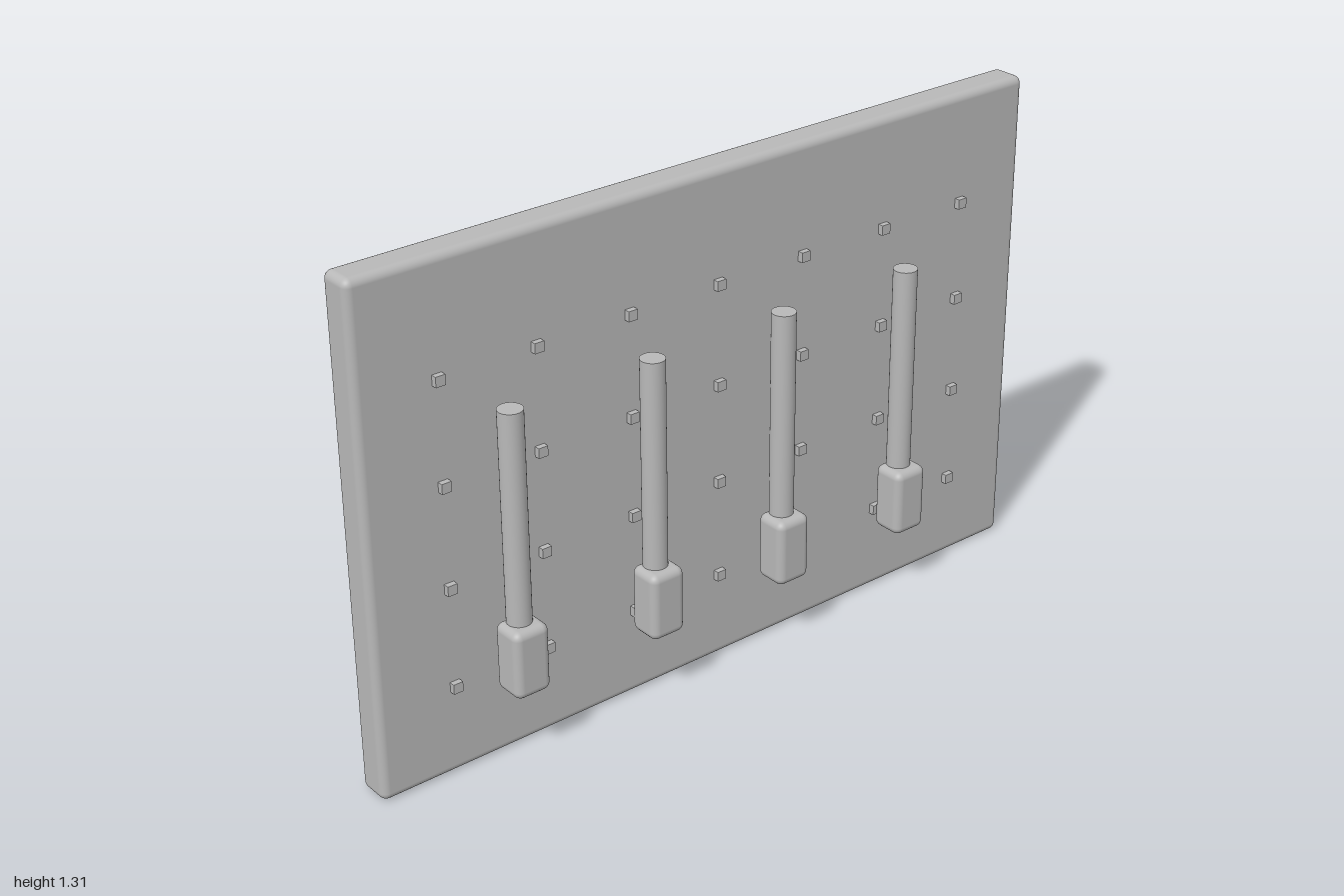
import * as THREE from 'three';
import { RoundedBoxGeometry } from 'three/addons/geometries/RoundedBoxGeometry.js';

export function createModel() {
  const model = new THREE.Group();
  model.name = 'pegboardWithTools';
  const grey = new THREE.MeshStandardMaterial({ color: 0xb8b8b8 });
  grey.name = 'plain grey';

  const add = (name, geometry, x, y, z, parent = model) => {
    const mesh = new THREE.Mesh(geometry, grey);
    mesh.name = name;
    mesh.position.set(x, y, z);
    parent.add(mesh);
    return mesh;
  };

  // Backing board with rounded edges
  add('board', new RoundedBoxGeometry(2, 1.314, 0.092, 4, 0.02), 0, 0.657, -0.05);

  // Small square pegs: seven columns by four rows
  const pegs = new THREE.Group();
  pegs.name = 'pegs';
  model.add(pegs);
  const pegGeometry = new THREE.BoxGeometry(0.026, 0.026, 0.02);
  for (let row = 0; row < 4; row++) {
    for (let col = -3; col <= 3; col++) {
      add('peg', pegGeometry, col * 0.263, 0.237 + row * 0.263, 0.001, pegs);
    }
  }

  // Hanging tools: a round shaft above a rounded handle
  const shaftGeometry = new THREE.CylinderGeometry(0.031, 0.031, 0.57, 32);
  const handleGeometry = new RoundedBoxGeometry(0.098, 0.18, 0.09, 4, 0.02);
  for (let i = 0; i < 4; i++) {
    const tool = new THREE.Group();
    tool.name = 'tool';
    tool.position.x = -0.633 + i * 0.4;
    model.add(tool);
    add('shaft', shaftGeometry, 0, 0.636, 0.041, tool);
    add('handle', handleGeometry, 0, 0.282, 0.051, tool);
  }

  return model;
}
